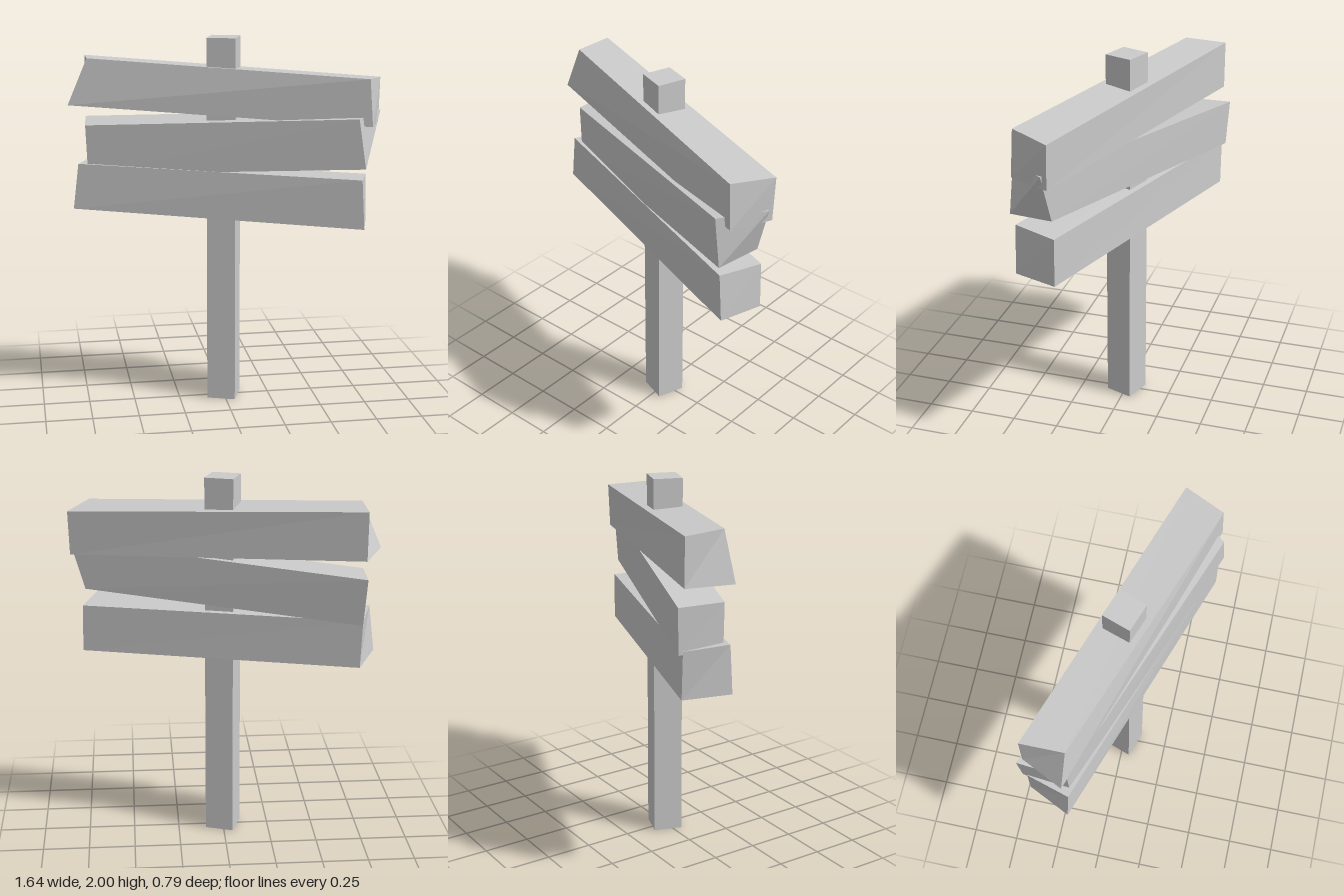
import * as THREE from 'three';

const material = new THREE.MeshStandardMaterial({
  color: 0xcccccc, flatShading: true, side: THREE.DoubleSide,
});

// Crooked plank: a box whose corners are moved to the front and back outlines,
// each listed as bottom left, bottom right, top left, top right.
function plank(name, front, back) {
  const geo = new THREE.BoxGeometry(1, 1, 1);
  const pos = geo.attributes.position;
  for (let i = 0; i < pos.count; i++) {
    const outline = pos.getZ(i) > 0 ? front : back;
    const corner = (pos.getY(i) > 0 ? 2 : 0) + (pos.getX(i) > 0 ? 1 : 0);
    pos.setXYZ(i, ...outline[corner]);
  }
  geo.computeVertexNormals();
  const mesh = new THREE.Mesh(geo, material);
  mesh.name = name;
  return mesh;
}

export function createModel() {
  const group = new THREE.Group();
  group.name = 'signpost';

  // Square post, turned about its axis and open underneath
  const postGeo = new THREE.BoxGeometry(0.155, 2, 0.155);
  const index = Array.from(postGeo.index.array);
  index.splice(18, 6); // drop the bottom face
  postGeo.setIndex(index);
  postGeo.clearGroups();
  const post = new THREE.Mesh(postGeo, material);
  post.name = 'post';
  post.position.y = 1;
  post.rotation.y = -0.34;
  group.add(post);

  // Three uneven sign boards
  group.add(plank('topBoard',
    [[-0.82, 1.635, -0.135], [0.722, 1.56, 0.368], [-0.714, 1.884, -0.13], [0.705, 1.808, 0.36]],
    [[-0.71, 1.62, -0.355], [0.81, 1.552, 0.152], [-0.712, 1.876, -0.355], [0.817, 1.79, 0.146]]));
  group.add(plank('middleBoard',
    [[-0.72, 1.257, -0.13], [0.683, 1.344, 0.397], [-0.73, 1.524, -0.133], [0.645, 1.606, 0.387]],
    [[-0.695, 1.286, -0.378], [0.735, 1.357, 0.158], [-0.712, 1.533, -0.392], [0.812, 1.62, 0.183]]));
  group.add(plank('bottomBoard',
    [[-0.802, 1.069, -0.13], [0.688, 1.016, 0.375], [-0.772, 1.317, -0.125], [0.672, 1.282, 0.375]],
    [[-0.69, 1.048, -0.355], [0.757, 1.01, 0.143], [-0.7, 1.302, -0.355], [0.752, 1.267, 0.143]]));

  return group;
}
